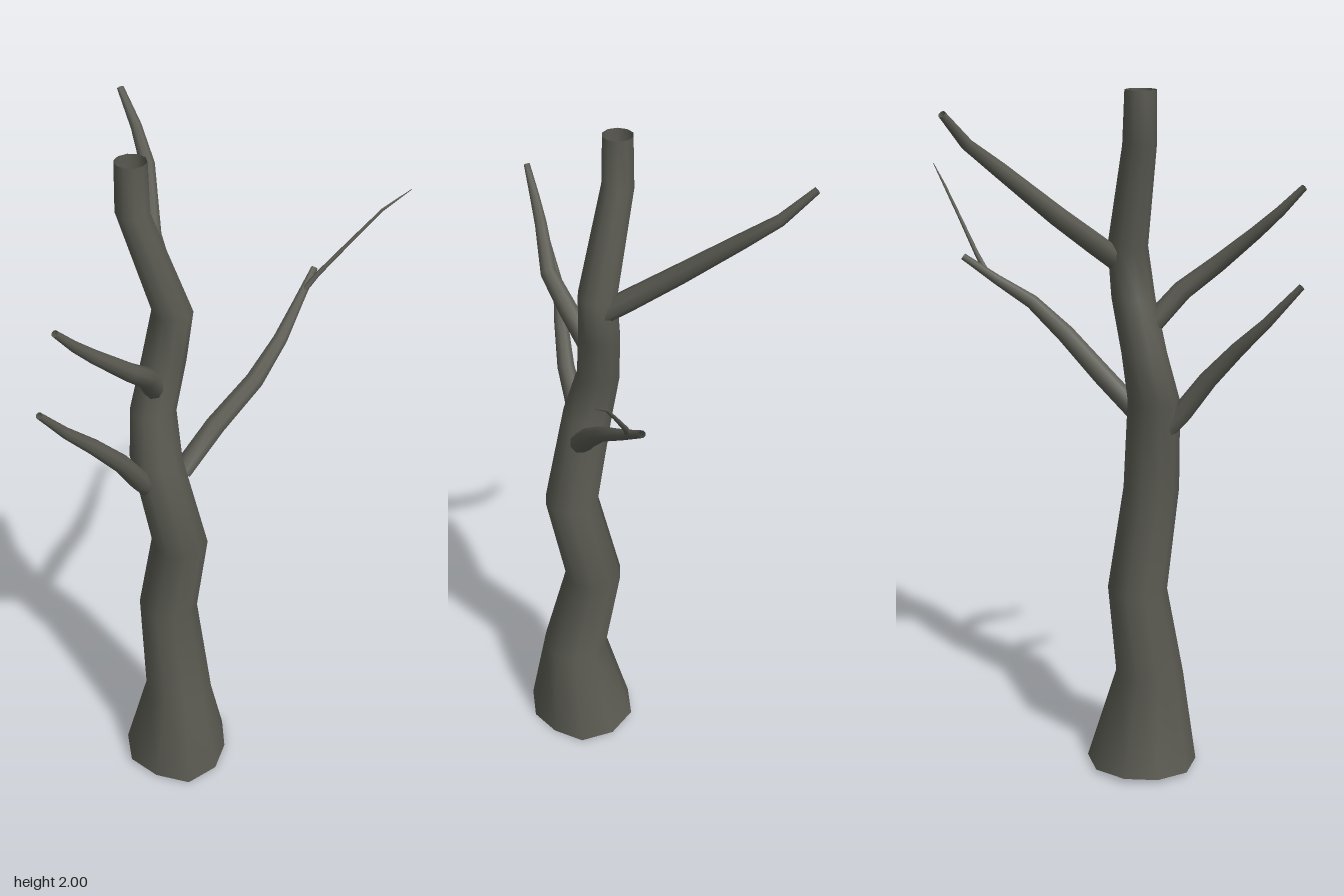
import * as THREE from 'three';

// Open tapering limb. Each point is [x, y, z, radius]; rings lie across the path,
// or flat when `level` is set. `flare` scales the radii of the first ring.
function limb(name, points, material, sides, level = false, flare = null) {
  const centres = points.map(p => new THREE.Vector3(p[0], p[1], p[2]));
  const side = new THREE.Vector3(1, 0, 0);
  const last = points.length - 1;
  const pos = [], index = [];
  for (let i = 0; i <= last; i++) {
    const t = level
      ? new THREE.Vector3(0, 1, 0)
      : centres[Math.min(i + 1, last)].clone().sub(centres[Math.max(i - 1, 0)]).normalize();
    const u = t.clone().cross(side).normalize();
    const v = t.clone().cross(u);
    for (let j = 0; j < sides; j++) {
      const a = (j / sides) * Math.PI * 2;
      const r = points[i][3] * (i === 0 && flare ? flare[j] : 1);
      const p = centres[i].clone().addScaledVector(u, r * Math.cos(a)).addScaledVector(v, r * Math.sin(a));
      // the ground ring tilts slightly
      if (i === 0 && flare) p.y -= 0.05 * (p.x - centres[0].x);
      pos.push(p.x, p.y, p.z);
      if (i < last) {
        const k = (j + 1) % sides, n = i * sides, m = n + sides;
        index.push(n + j, n + k, m + j, n + k, m + k, m + j);
      }
    }
  }
  const geometry = new THREE.BufferGeometry();
  geometry.setAttribute('position', new THREE.Float32BufferAttribute(pos, 3));
  geometry.setIndex(index);
  geometry.computeVertexNormals();
  const mesh = new THREE.Mesh(geometry, material);
  mesh.name = name;
  return mesh;
}

export function createModel() {
  const tree = new THREE.Group();
  tree.name = 'bareTree';
  const bark = new THREE.MeshStandardMaterial({ color: 0x5a5a52, side: THREE.DoubleSide });
  bark.name = 'greyBark';

  // Crooked trunk with a flared, uneven foot
  tree.add(limb('trunk', [
    [-0.025, 0.008, 0.12, 0.162],
    [-0.01, 0.29, 0.136, 0.1],
    [-0.057, 0.58, 0.1, 0.086],
    [-0.002, 0.87, 0.135, 0.08],
    [-0.067, 1.15, 0.142, 0.073],
    [-0.085, 1.29, 0.115, 0.063],
    [-0.065, 1.44, 0.083, 0.06],
    [-0.047, 1.58, 0.066, 0.055],
    [-0.137, 1.86, 0.1, 0.045],
    [-0.137, 2.0, 0.102, 0.042],
  ], bark, 10, true, [1.04, 1.04, 0.98, 0.98, 1.02, 0.98, 1.08, 1.0, 0.94, 1.04]));

  // Branches, from the trunk outwards
  const branches = {
    backRightBranch: [
      [-0.05, 1.53, 0.05, 0.03], [-0.1, 1.59, -0.015, 0.03], [-0.185, 1.68, -0.11, 0.027],
      [-0.26, 1.81, -0.25, 0.021], [-0.325, 1.88, -0.32, 0.016], [-0.393, 1.96, -0.368, 0.01],
    ],
    backLeftBranch: [
      [-0.01, 1.09, 0.1, 0.03], [0.045, 1.19, -0.01, 0.03], [0.115, 1.29, -0.12, 0.027],
      [0.15, 1.375, -0.22, 0.021], [0.16, 1.435, -0.32, 0.015], [0.172, 1.5, -0.42, 0.01],
    ],
    lowerFrontBranch: [
      [-0.075, 1.075, 0.18, 0.03], [-0.08, 1.12, 0.22, 0.029], [-0.095, 1.22, 0.29, 0.026],
      [-0.135, 1.32, 0.37, 0.021], [-0.175, 1.4, 0.44, 0.015], [-0.196, 1.505, 0.528, 0.009],
    ],
    upperFrontBranch: [
      [-0.072, 1.365, 0.13, 0.03], [-0.055, 1.46, 0.215, 0.028], [-0.055, 1.535, 0.31, 0.024],
      [-0.1, 1.63, 0.41, 0.018], [-0.12, 1.69, 0.47, 0.014], [-0.136, 1.755, 0.528, 0.009],
    ],
    twig: [
      [0.165, 1.46, -0.355, 0.009], [0.195, 1.505, -0.385, 0.007], [0.27, 1.6, -0.445, 0.005],
      [0.335, 1.68, -0.497, 0.004], [0.4, 1.735, -0.54, 0.001],
    ],
  };
  for (const [name, points] of Object.entries(branches)) tree.add(limb(name, points, bark, 8));

  return tree;
}
